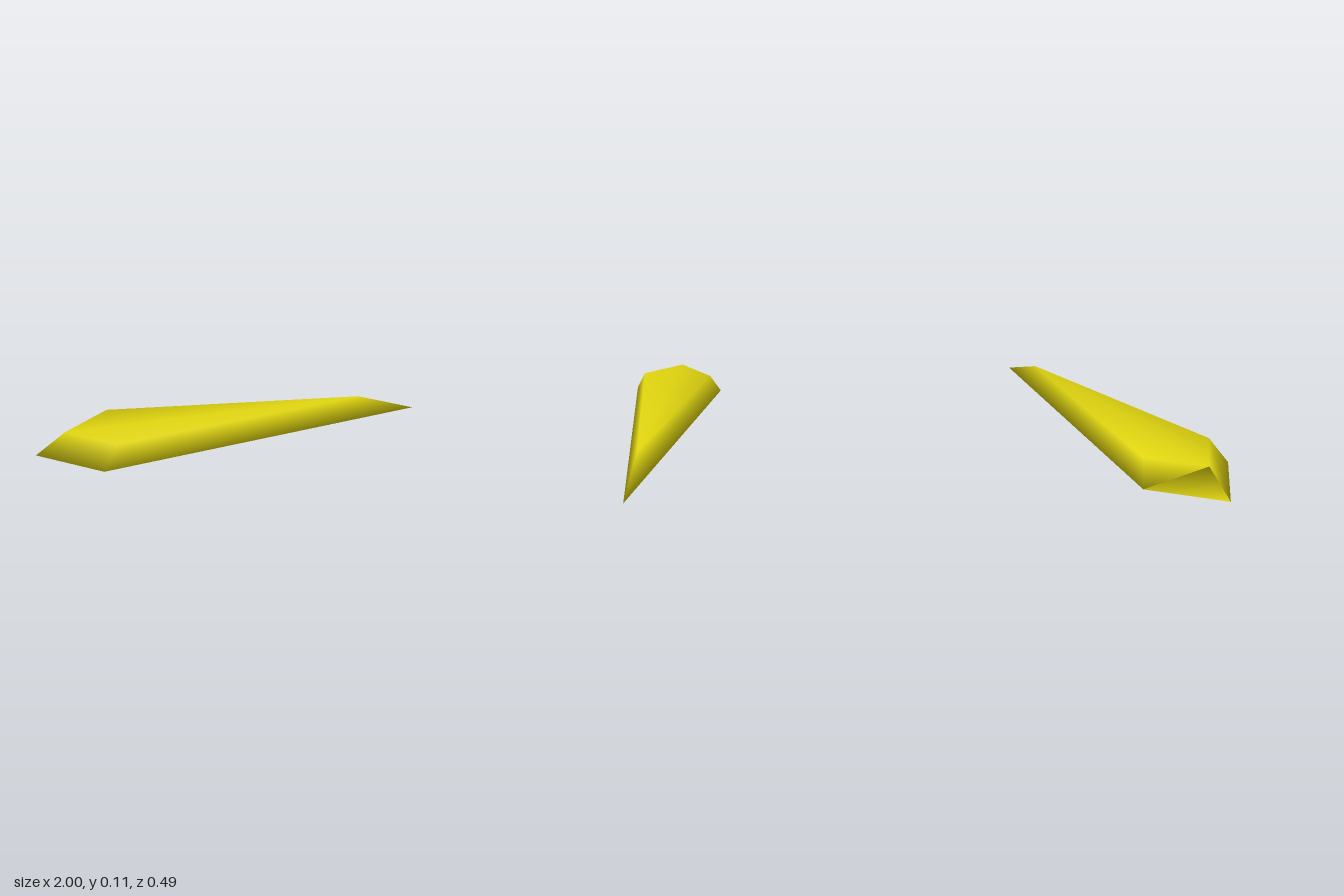
import * as THREE from 'three';

export function createModel() {
  const yellow = new THREE.MeshStandardMaterial({ color: 0xdfd40f });
  yellow.name = 'yellow';

  // Kite outline, counter-clockwise seen from above
  const kite = [[-1, 0], [-0.7, 0.245], [1, 0], [-0.7, -0.245]];
  const height = 0.107;

  // Lower ring, then a smaller upper ring shifted towards the blunt end
  const positions = [];
  for (const [x, z] of kite) positions.push(x, 0, z);
  for (const [x, z] of kite) positions.push(x * 0.765 - 0.085, height, z * 0.773);

  // Sloping sides, then top and base; shared corners keep the shading smooth
  const index = [];
  for (let i = 0; i < 4; i++) {
    const j = (i + 1) % 4;
    index.push(i, j, j + 4, i, j + 4, i + 4);
  }
  index.push(4, 5, 6, 4, 6, 7);
  index.push(0, 2, 1, 0, 3, 2);

  const geometry = new THREE.BufferGeometry();
  geometry.setAttribute('position', new THREE.Float32BufferAttribute(positions, 3));
  geometry.setIndex(index);
  geometry.computeVertexNormals();

  const shard = new THREE.Mesh(geometry, yellow);
  shard.name = 'kiteShard';

  const group = new THREE.Group();
  group.name = 'bevelledKite';
  group.add(shard);
  return group;
}
